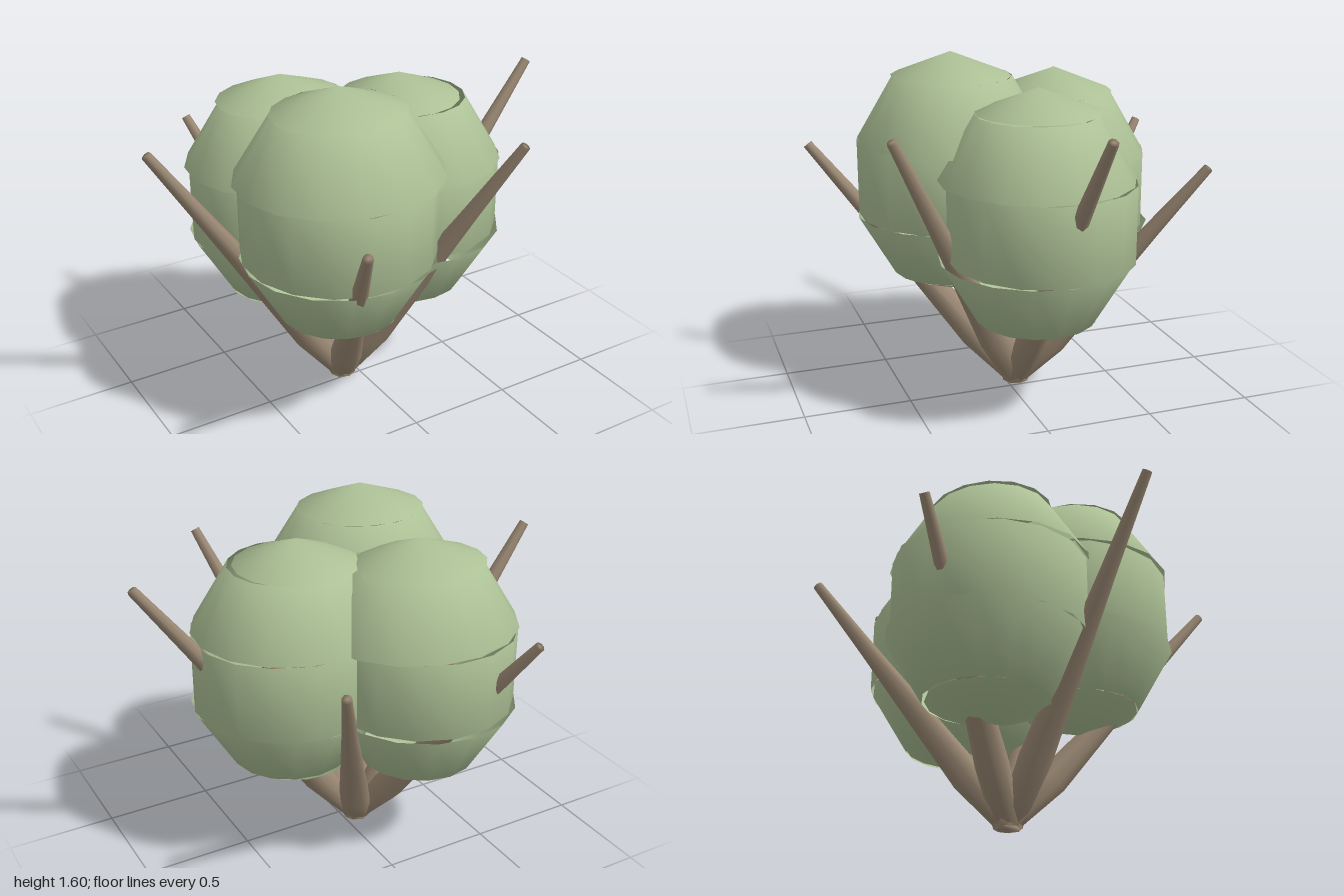
import * as THREE from 'three';

const leafMaterial = new THREE.MeshStandardMaterial({ color: 0xadc196, side: THREE.DoubleSide });
const barkMaterial = new THREE.MeshStandardMaterial({ color: 0x9b8974 });

// A tapering, slightly bulged stem from the shared root to a tip.
function branch(tip) {
  const root = new THREE.Vector3(-0.07, 0, -0.05);
  const dir = new THREE.Vector3(...tip).sub(root);
  const length = dir.length();
  const profile = [[0, 0], [0.064, 0], [0.074, 0.2], [0.037, 0.72], [0.022, 1], [0, 1]]
    .map(([r, t]) => new THREE.Vector2(r, t * length));
  const geometry = new THREE.LatheGeometry(profile, 8);
  geometry.applyQuaternion(new THREE.Quaternion().setFromUnitVectors(
    new THREE.Vector3(0, 1, 0), dir.normalize()));
  geometry.translate(root.x, root.y, root.z);
  // Flatten the cut end onto the ground.
  const pos = geometry.attributes.position;
  for (let i = 0; i < pos.count; i++) {
    if (i % profile.length < 2) pos.setY(i, 0);
  }
  const mesh = new THREE.Mesh(geometry, barkMaterial);
  mesh.name = 'branch';
  return mesh;
}

// One straight-sided ring of a unit ball, shaded as if round.
function ballBand(index) {
  const points = [index + 1, index].map((k) => {
    const angle = k * Math.PI / 5;
    return new THREE.Vector2(Math.max(0, Math.sin(angle)), Math.cos(angle));
  });
  const geometry = new THREE.LatheGeometry(points, 16);
  geometry.setAttribute('normal', geometry.attributes.position.clone());
  return geometry;
}

// A leaf mass made of five separate, slightly shifted shells.
// Each band: centre x, centre z, x radius, z radius, turn.
function foliage(name, centreY, bands) {
  const group = new THREE.Group();
  group.name = name;
  const names = ['topCap', 'upperBand', 'middleBand', 'lowerBand', 'bottomCap'];
  bands.forEach(([x, z, rx, rz, turn], i) => {
    const geometry = ballBand(i);
    geometry.rotateY(turn);
    geometry.scale(rx, 0.575, rz);
    geometry.translate(x, centreY, z);
    const mesh = new THREE.Mesh(geometry, leafMaterial);
    mesh.name = names[i];
    group.add(mesh);
  });
  return group;
}

export function createModel() {
  const model = new THREE.Group();
  model.name = 'bush';

  const branches = new THREE.Group();
  branches.name = 'branches';
  const tips = [
    [0.98, 1.42, -0.06], [0.41, 1.35, 0.65], [-0.48, 1.16, 0.84],
    [-0.98, 1.36, -0.06], [-0.47, 1.16, -0.85], [0.41, 1.12, -0.79],
  ];
  tips.forEach((tip) => branches.add(branch(tip)));
  model.add(branches);

  model.add(foliage('frontFoliage', 1.025, [
    [-0.23, 0.21, 0.51, 0.47, 0],
    [-0.225, 0.205, 0.495, 0.465, 0.1],
    [-0.24, 0.21, 0.455, 0.46, 0.2],
    [-0.245, 0.225, 0.46, 0.455, 0],
    [-0.24, 0.22, 0.46, 0.46, 0.1],
  ]));
  model.add(foliage('sideFoliage', 0.925, [
    [0.235, -0.045, 0.475, 0.475, 0],
    [0.255, -0.03, 0.475, 0.46, 0.1],
    [0.28, -0.045, 0.46, 0.44, 0.2],
    [0.265, -0.025, 0.475, 0.46, 0],
    [0.25, -0.04, 0.47, 0.46, 0.1],
  ]));
  model.add(foliage('backFoliage', 0.925, [
    [-0.235, -0.3, 0.51, 0.46, 0],
    [-0.225, -0.29, 0.495, 0.455, 0.1],
    [-0.24, -0.3, 0.455, 0.46, 0.2],
    [-0.235, -0.32, 0.46, 0.465, 0],
    [-0.24, -0.31, 0.46, 0.46, 0.1],
  ]));
  return model;
}
